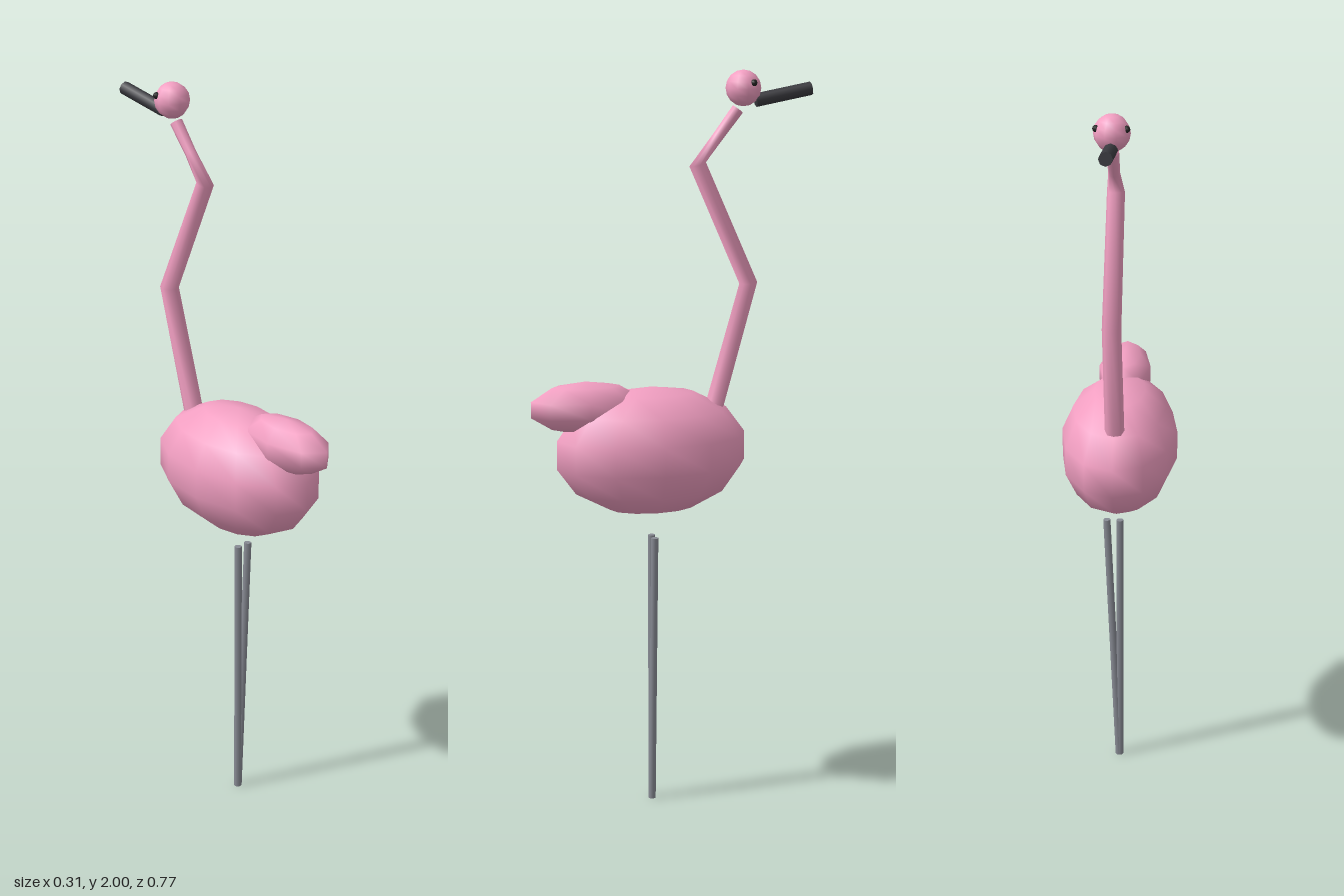
import * as THREE from 'three';

const material = (color, extra = {}) => new THREE.MeshStandardMaterial({ color, ...extra });
const pink = material(0xf29fc2);
const pinkOpen = material(0xf29fc2, { side: THREE.DoubleSide });
const dark = material(0x3a3a3f);
const eyeDark = material(0x222222);
const legGrey = material(0x888b94);

function add(group, name, geometry, mat) {
  const mesh = new THREE.Mesh(geometry, mat);
  mesh.name = name;
  group.add(mesh);
  return mesh;
}

// Scaled sphere with a chosen number of sides and rings
function ellipsoid(group, name, mat, center, radii, sides, rings) {
  const mesh = add(group, name, new THREE.SphereGeometry(1, sides, rings), mat);
  mesh.position.set(...center);
  mesh.scale.set(...radii);
  return mesh;
}

// Straight rod between two points
function rod(group, name, mat, from, to, radius, sides) {
  const a = new THREE.Vector3(...from), b = new THREE.Vector3(...to);
  const dir = b.clone().sub(a);
  const mesh = add(group, name, new THREE.CylinderGeometry(radius, radius, dir.length(), sides), mat);
  mesh.position.copy(a).add(b).multiplyScalar(0.5);
  mesh.quaternion.setFromUnitVectors(new THREE.Vector3(0, 1, 0), dir.normalize());
  return mesh;
}

// Open tube through [y, z, radius] stations in the x = 0 plane
function bentTube(stations, sides) {
  const positions = [], index = [];
  stations.forEach(([y, z, r], i) => {
    const p = stations[Math.max(i - 1, 0)], n = stations[Math.min(i + 1, stations.length - 1)];
    const t = new THREE.Vector2(n[0] - p[0], n[1] - p[1]).normalize();
    for (let j = 0; j < sides; j++) {
      const a = (j / sides) * Math.PI * 2;
      const s = r * Math.sin(a);
      positions.push(r * Math.cos(a), y + s * t.y, z - s * t.x);
      if (i < stations.length - 1) {
        const a0 = i * sides + j, a1 = i * sides + (j + 1) % sides;
        index.push(a0, a1, a0 + sides, a1, a1 + sides, a0 + sides);
      }
    }
  });
  const geometry = new THREE.BufferGeometry();
  geometry.setAttribute('position', new THREE.Float32BufferAttribute(positions, 3));
  geometry.setIndex(index);
  geometry.computeVertexNormals();
  return geometry;
}

export function createModel() {
  const bird = new THREE.Group();
  bird.name = 'wadingBird';

  // Body and tail
  ellipsoid(bird, 'body', pink, [0, 0.99, 0.055], [0.16, 0.175, 0.266], 12, 7);
  ellipsoid(bird, 'tail', pink, [0, 1.118, 0.235], [0.074, 0.07, 0.156], 8, 5);

  // S-shaped neck, pinched below the head
  add(bird, 'neck', bentTube([
    [1.05, -0.105, 0.026],
    [1.434, -0.213, 0.025],
    [1.755, -0.072, 0.023],
    [1.825, -0.126, 0.015],
    [1.897, -0.181, 0.017],
  ], 8), pinkOpen);

  // Head, eyes and beak
  ellipsoid(bird, 'head', pink, [0, 1.952, -0.196], [0.047, 0.048, 0.047], 10, 8);
  for (const side of [-1, 1]) {
    ellipsoid(bird, side > 0 ? 'leftEye' : 'rightEye', eyeDark,
      [side * 0.038, 1.968, -0.214], [0.009, 0.009, 0.009], 8, 6);
  }
  rod(bird, 'beak', dark, [0, 1.919, -0.229], [0, 1.947, -0.382], 0.018, 8);

  // Legs meet at the ground, one upright and one leaning
  rod(bird, 'standingLeg', legGrey, [0, 0, 0.055], [0, 0.755, 0.055], 0.01, 8);
  rod(bird, 'leaningLeg', legGrey, [0.002, 0, 0.055], [0.036, 0.755, 0.055], 0.01, 8);

  return bird;
}
